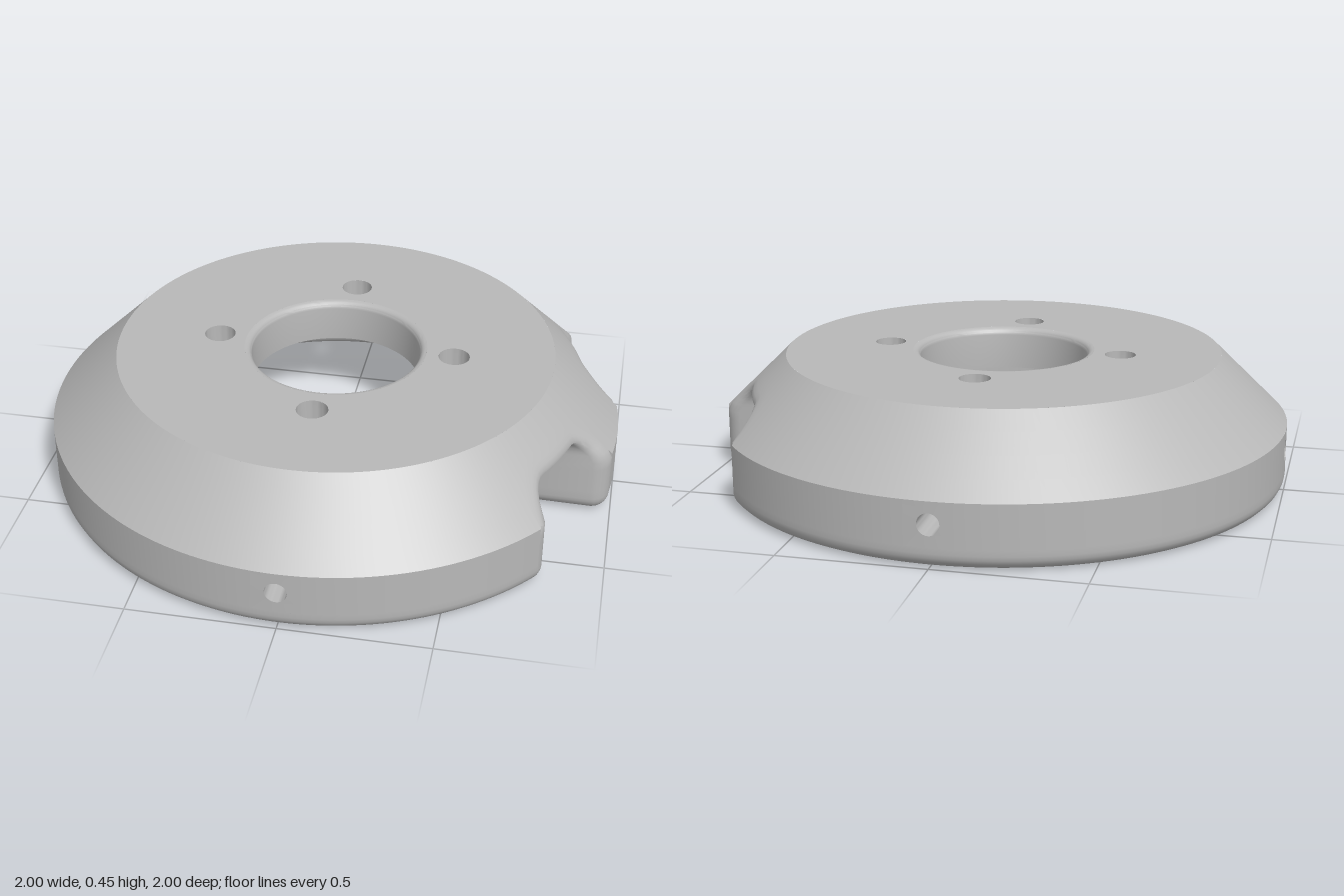
import * as THREE from 'three';
import { toCreasedNormals } from 'three/addons/utils/BufferGeometryUtils.js';

const TOP = 0.45, CEIL = 0.3, SHOULDER = 0.22;
const R_TOP = 0.765, R_IN = 0.735, R_HOLE = 0.295;
const TAB = 0.201, NOTCH = 0.615;           // notch limits, as angles on the rim
const PIN_Y = 0.145, PIN_R = 0.037;         // radial pin holes
const BOLT_D = 0.417, BOLT_R = 0.054, BORE_R = 0.091, BORE_Y = 0.38;
const { lerp, clamp } = THREE.MathUtils;

const polar = (r, a, y) => new THREE.Vector3(r * Math.cos(a), y, r * Math.sin(a));

// Surface through a series of equally long point columns
function skin(cols, skip = () => false) {
  const pos = [], ab = new THREE.Vector3(), ac = new THREE.Vector3();
  const tri = (a, b, c) => {
    ab.subVectors(b, a); ac.subVectors(c, a);
    if (ab.cross(ac).length() < 1e-8) return;
    pos.push(...a.toArray(), ...b.toArray(), ...c.toArray());
  };
  for (let i = 0; i + 1 < cols.length; i++) {
    for (let j = 0; j + 1 < cols[i].length; j++) {
      if (skip(i, j)) continue;
      tri(cols[i][j], cols[i][j + 1], cols[i + 1][j + 1]);
      tri(cols[i][j], cols[i + 1][j + 1], cols[i + 1][j]);
    }
  }
  const g = new THREE.BufferGeometry();
  g.setAttribute('position', new THREE.Float32BufferAttribute(pos, 3));
  return toCreasedNormals(g, 0.6);
}

// Full turn of a profile of [radius, height] points
function revolve(profile, segs) {
  const cols = [];
  for (let i = 0; i <= segs; i++) {
    cols.push(profile.map(([r, y]) => polar(r, (i % segs) / segs * Math.PI * 2, y)));
  }
  return skin(cols);
}

// Lower edge of the ring: {s: angle, y, n: direction into the body}
function edgePath() {
  const P = Math.PI;
  const flat = [-0.75 * P, -P / 2 - 0.08, -P / 2 + 0.08];
  const corners = [
    ...flat.map(s => [s, 0, 0]),
    [-NOTCH, 0, 0.055], [-NOTCH, CEIL, 0.11], [-TAB, CEIL, 0.065], [-TAB, 0, 0.055],
    [-0.08, 0, 0], [0.08, 0, 0],
    [TAB, 0, 0.055], [TAB, CEIL, 0.065], [NOTCH, CEIL, 0.11], [NOTCH, 0, 0.055],
    ...[P / 2 - 0.08, P / 2 + 0.08, P - 0.08, P + 0.08, 1.25 * P].map(s => [s, 0, 0]),
  ];
  const out = [];
  const add = (p, d) => out.push({ s: p.x, y: p.y, n: new THREE.Vector2(-d.y, d.x) });
  const pts = corners.map(c => new THREE.Vector2(c[0], c[1]));
  for (let i = 0; i + 1 < pts.length; i++) {
    const d = pts[i + 1].clone().sub(pts[i]).normalize();
    const a = pts[i].clone().addScaledVector(d, corners[i][2]);
    const rad = corners[i + 1][2];
    const b = pts[i + 1].clone().addScaledVector(d, -rad);
    const n = Math.max(1, Math.ceil(a.distanceTo(b) / 0.035));
    for (let k = 0; k <= n; k++) add(a.clone().lerp(b, k / n), d);
    if (rad > 0) {
      const e = pts[i + 2].clone().sub(pts[i + 1]).normalize();
      const c = b.clone().addScaledVector(e, rad);
      for (let k = 1; k < 7; k++) {
        const t = k / 7 * P / 2, co = Math.cos(t), si = Math.sin(t);
        add(c.clone().addScaledVector(e, -rad * co).addScaledVector(d, rad * si),
          d.clone().multiplyScalar(co).addScaledVector(e, si));
      }
    }
  }
  return out;
}

// The tab between the notches has parallel sides, so angles spread towards the inside
function innerAngle(s) {
  const a = Math.abs(s), wide = Math.asin(0.2 / R_IN);
  let t = a;
  if (a > 0.105 && a <= TAB) t = lerp(0.105, wide, (a - 0.105) / (TAB - 0.105));
  else if (a > TAB && a < NOTCH) t = lerp(wide, NOTCH, (a - TAB) / (NOTCH - TAB));
  return Math.sign(s) * t;
}
const place = (r, s, y) => polar(r, lerp(innerAngle(s), s, clamp((r - R_IN) / (1 - R_IN), 0, 1)), y);
const outerR = y => (y < SHOULDER ? 1 : lerp(1, R_TOP, (y - SHOULDER) / (TOP - SHOULDER)));

// Rounded corner from p to q around c, points as [r, s, y]
function fillet(p, c, q) {
  const w = Math.SQRT1_2, out = [];
  for (let k = 0; k <= 5; k++) {
    const t = k / 5, A = (1 - t) ** 2, B = 2 * t * (1 - t) * w, C = t * t;
    out.push(p.map((v, i) => (A * v + B * c[i] + C * q[i]) / (A + B + C)));
  }
  return out;
}

// Cross-section: inner wall down, under the edge, outer wall and cone up
function section({ s, y, n }) {
  const f = 0.05, fi = 0.045 * clamp((CEIL - y) / 0.12, 0, 1);
  const si = s + fi * n.x, yi = Math.min(CEIL, y + fi * n.y);
  const so = s + f * n.x, yo = y + f * n.y, ro = outerR(y);
  const pts = [CEIL, SHOULDER, 0.07].map(h => [R_IN, si, Math.max(h, yi)]);
  pts.push(...fillet([R_IN, si, yi], [R_IN, s, y], [R_IN + fi, s, y]));
  pts.push(...fillet([ro - f, s, y], [ro, s, y], [outerR(yo), so, yo]));
  for (const h of [0.07, SHOULDER]) {
    const v = Math.max(h, yo);
    pts.push([outerR(v), so, v]);
  }
  const start = Math.max(SHOULDER, yo);
  for (let k = 1; k <= 4; k++) {
    const v = lerp(start, TOP, k / 4);
    pts.push([outerR(v), so, v]);
  }
  return pts.map(p => place(...p));
}

// Pin hole through the ring wall, with the wall patch around it on both sides
function pinHole(angle) {
  const cols = [];
  for (let k = 0; k <= 32; k++) {
    const t = (k % 32) / 32 * Math.PI * 2, c = Math.cos(t), s = Math.sin(t);
    const m = 1 / Math.max(Math.abs(c), Math.abs(s));
    const rect = r => polar(r, angle + 0.08 * c * m, PIN_Y + 0.075 * s * m);
    const ring = r => polar(r, angle + Math.asin(PIN_R * c / r), PIN_Y + PIN_R * s);
    cols.push([rect(1), ring(1), ring(R_IN), rect(R_IN)]);
  }
  return skin(cols);
}

// Flat disc with the centre hole and four bolt holes
function disc(radius, centre, bolt, up) {
  const shape = new THREE.Shape().absarc(0, 0, radius, 0, Math.PI * 2);
  shape.holes.push(new THREE.Path().absarc(0, 0, centre, 0, Math.PI * 2, true));
  for (let i = 0; i < 4; i++) {
    const a = i * Math.PI / 2;
    shape.holes.push(new THREE.Path().absarc(BOLT_D * Math.cos(a), BOLT_D * Math.sin(a), bolt, 0, Math.PI * 2, true));
  }
  return new THREE.ShapeGeometry(shape, 96).rotateX(up ? -Math.PI / 2 : Math.PI / 2);
}

export function createModel() {
  const group = new THREE.Group();
  const metal = new THREE.MeshStandardMaterial({ color: 0xb8b8b8 });
  metal.name = 'plain grey';
  const add = (name, geo, x = 0, y = 0, z = 0) => {
    const mesh = new THREE.Mesh(geo, metal);
    mesh.name = name;
    mesh.position.set(x, y, z);
    group.add(mesh);
  };

  // Ring wall and cone with two notches, left open where the pin holes sit
  const path = edgePath();
  const inPatch = s => [-0.5, 0, 0.5, 1].some(q => Math.abs(s - q * Math.PI) < 0.08);
  const skip = (i, j) => (j === 1 || j === 15) && path[i].y < 1e-6 && path[i + 1].y < 1e-6
    && inPatch((path[i].s + path[i + 1].s) / 2);
  add('ringBody', skin(path.map(section), skip));

  // Top plate, cavity ceiling and rounded centre hole
  const lip = 0.025, bore = [];
  for (let k = 0; k <= 5; k++) {
    const t = k / 5 * Math.PI / 2;
    bore.push([R_HOLE + lip * (1 - Math.sin(t)), TOP - lip + lip * Math.cos(t)]);
  }
  bore.push([R_HOLE, CEIL]);
  add('topPlate', disc(R_TOP, R_HOLE + lip, BOLT_R, true), 0, TOP, 0);
  add('cavityCeiling', disc(R_IN, R_HOLE, BORE_R, false), 0, CEIL, 0);
  add('centreHole', revolve(bore, 96));

  // Counterbored bolt holes and radial pin holes
  const bolt = [[BOLT_R, TOP], [BOLT_R, BORE_Y], [BORE_R, BORE_Y], [BORE_R, CEIL]];
  for (let i = 0; i < 4; i++) {
    const a = i * Math.PI / 2;
    add('boltHole', revolve(bolt, 48), BOLT_D * Math.cos(a), 0, BOLT_D * Math.sin(a));
    add('pinHole', pinHole(a));
  }
  return group;
}
